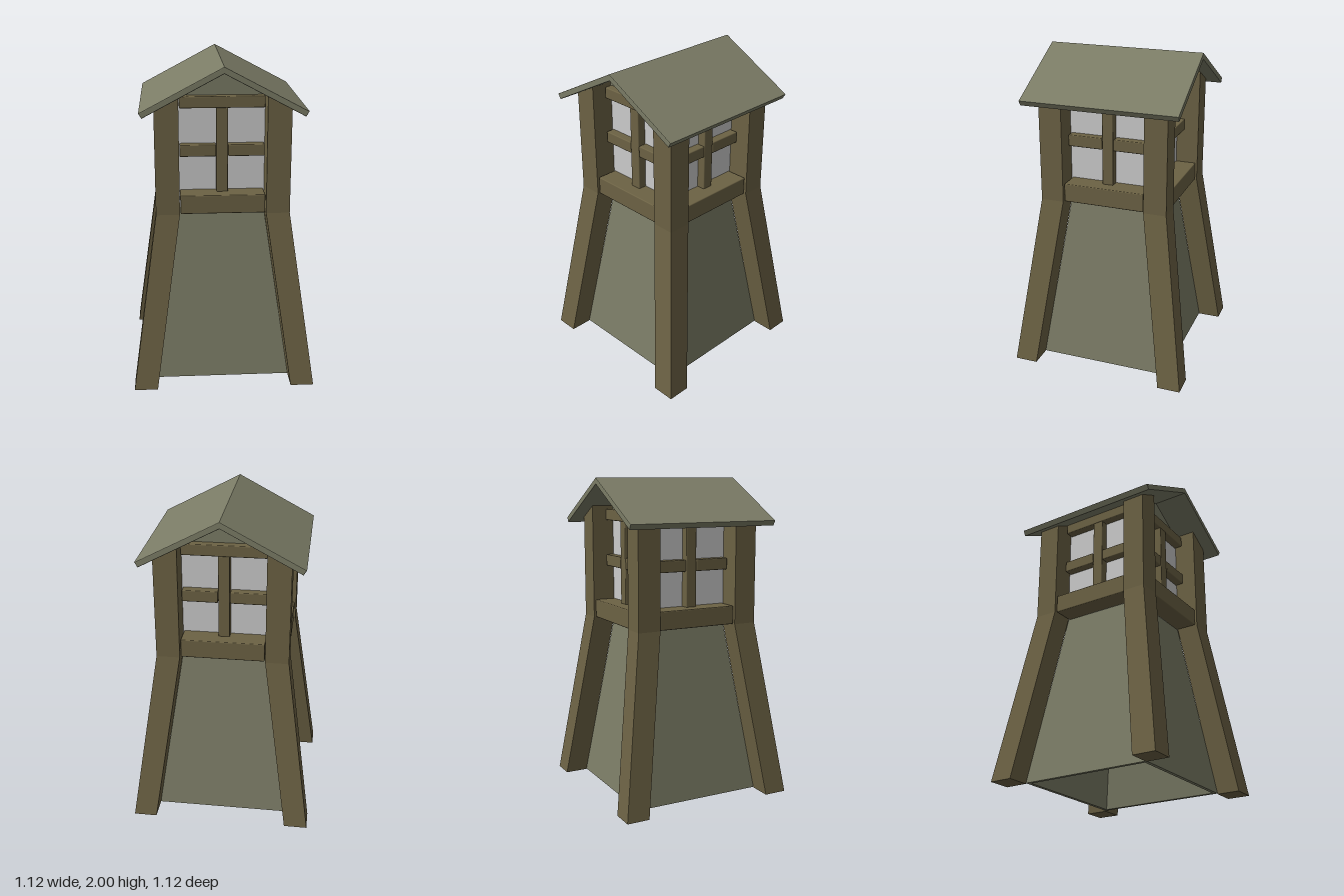
import * as THREE from 'three';
import { RoundedBoxGeometry } from 'three/addons/geometries/RoundedBoxGeometry.js';

const WOOD = new THREE.MeshStandardMaterial({ color: 0x6c6244 });
const SLATE = new THREE.MeshStandardMaterial({ color: 0x7b7c66 });
const GLASS = new THREE.MeshStandardMaterial({ color: 0xcccccc });

const KNEE = 1.1; // height where the sloping base meets the lantern

// Height of the roof's underside at a given x
const underRoof = (x) => 1.96 - 0.53 * Math.abs(x);

function add(parent, name, geometry, material) {
  const mesh = new THREE.Mesh(geometry, material);
  mesh.name = name;
  parent.add(mesh);
  return mesh;
}

function flat(geometry) {
  const g = geometry.index ? geometry.toNonIndexed() : geometry;
  g.computeVertexNormals();
  return g;
}

// Beam given by its minimum and maximum corners, with slightly eased edges
function beam(parent, name, [x0, y0, z0], [x1, y1, z1]) {
  const g = new RoundedBoxGeometry(x1 - x0, y1 - y0, z1 - z0, 2, 0.006);
  g.translate((x0 + x1) / 2, (y0 + y1) / 2, (z0 + z1) / 2);
  return add(parent, name, g, WOOD);
}

// Square corner post: leaning up to the knee, then upright to the roof slope
function postGeometry(sx, sz) {
  const g = new THREE.BoxGeometry(0.144, 2, 0.144, 1, 2, 1);
  const p = g.attributes.position;
  for (let i = 0; i < p.count; i++) {
    const level = Math.round(p.getY(i));
    const c = level < 0 ? 0.49 : 0.333;
    const x = sx * c + p.getX(i);
    const z = sz * c + p.getZ(i);
    p.setXYZ(i, x, level < 0 ? 0 : level === 0 ? KNEE : underRoof(x) + 0.004, z);
  }
  return flat(g);
}

// Extrude an outline in x and y, centred along z
function prism(points, depth, bevel = 0) {
  const shape = new THREE.Shape(points.map(([x, y]) => new THREE.Vector2(x, y)));
  const g = new THREE.ExtrudeGeometry(shape, {
    depth: depth - 2 * bevel, bevelEnabled: bevel > 0, bevelSize: bevel,
    bevelThickness: bevel, bevelOffset: -bevel, bevelSegments: 2,
  });
  g.translate(0, 0, -depth / 2 + bevel);
  return g;
}

export function createModel() {
  const model = new THREE.Group();
  model.name = 'lanternTower';

  // Hollow tapered base, open underneath
  const profile = [[0, KNEE - 0.03], [0.24, KNEE - 0.03], [0.395, 0.004], [0.418, 0.004], [0.26, KNEE], [0, KNEE]]
    .map(([r, y]) => new THREE.Vector2(r * Math.SQRT2, y));
  const base = new THREE.LatheGeometry(profile, 4);
  base.rotateY(Math.PI / 4);
  add(model, 'taperedBase', flat(base), SLATE);

  // Pale lantern panes
  const panes = new THREE.BoxGeometry(0.524, 0.7, 0.524);
  panes.translate(0, KNEE + 0.35, 0);
  add(model, 'lanternPanes', panes, GLASS);

  // Corner posts
  for (const sx of [-1, 1]) {
    for (const sz of [-1, 1]) add(model, 'cornerPost', postGeometry(sx, sz), WOOD);
  }

  // Same window frame on all four sides
  for (let i = 0; i < 4; i++) {
    const frame = new THREE.Group();
    frame.name = 'windowFrame';
    frame.rotation.y = (i * Math.PI) / 2;
    beam(frame, 'sill', [-0.256, KNEE, 0.25], [0.256, 1.215, 0.395]);
    beam(frame, 'topRail', [-0.256, 1.73, 0.25], [0.256, 1.8, 0.315]);
    beam(frame, 'mullion', [-0.035, 1.212, 0.25], [0.035, 1.732, 0.315]);
    beam(frame, 'leftCrossbar', [0.037, 1.435, 0.25], [0.256, 1.507, 0.315]);
    beam(frame, 'rightCrossbar', [-0.256, 1.435, 0.25], [-0.037, 1.507, 0.315]);
    model.add(frame);
  }

  // Gable filling under the roof
  const gable = [[-0.3, 1.79], [0.3, 1.79], [0.3, underRoof(0.3)], [0, 1.962], [-0.3, underRoof(0.3)]];
  add(model, 'gable', prism(gable, 0.53), SLATE);

  // Pitched roof slab
  const roof = [[0, 2], [-0.49, 1.741], [-0.472, 1.71], [0, 1.96], [0.472, 1.71], [0.49, 1.741]];
  add(model, 'roof', prism(roof, 0.985, 0.005), SLATE);

  return model;
}
